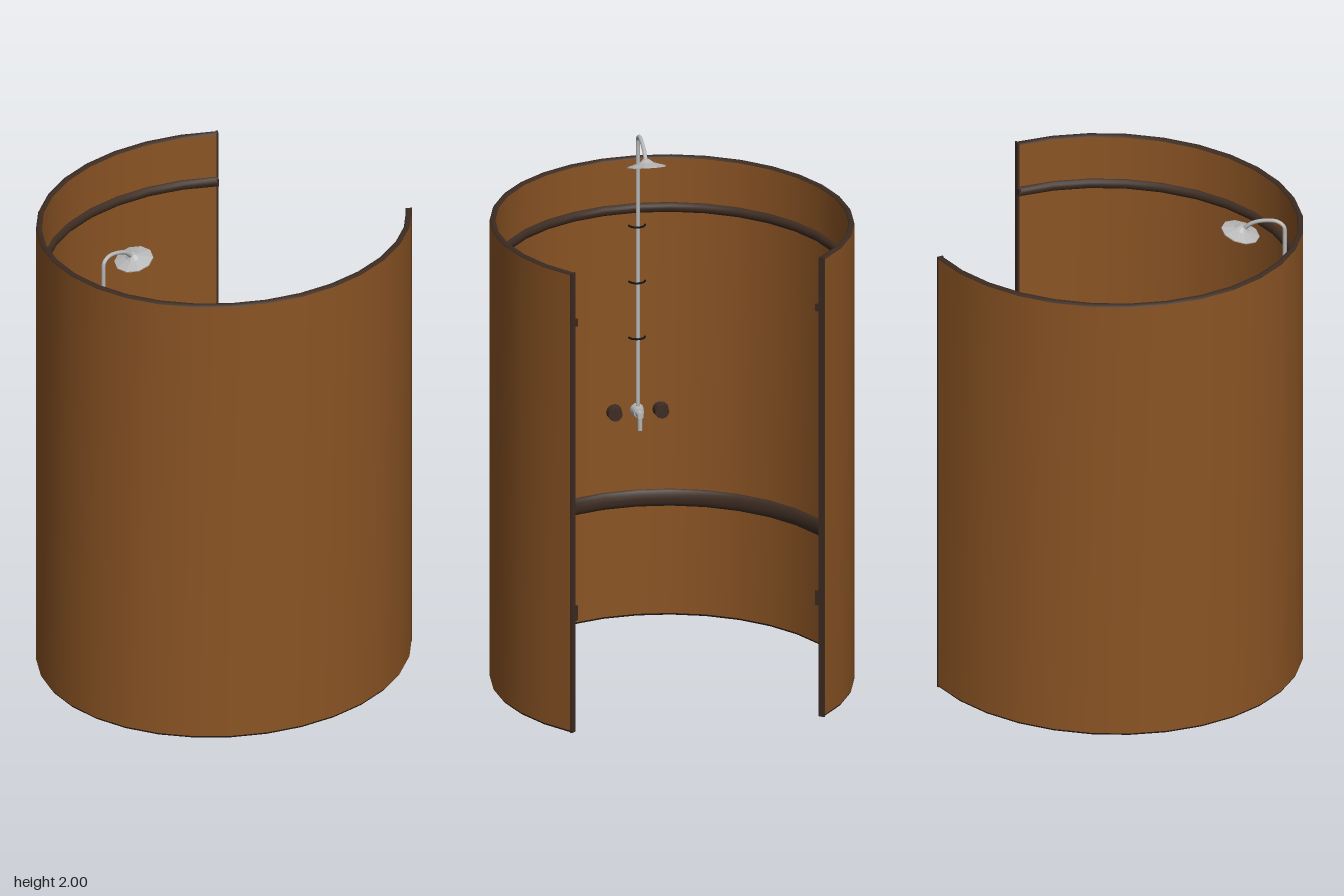
import * as THREE from 'three';

const CX = 0.11, A = 0.76, B = 0.705, TOP = 1.89, THICK = 0.022, SEG = 24;
const START = Math.PI / 4, SWEEP = Math.PI * 1.5;

// Point and outward direction on the elliptical plan, moved inward by d
function plan(theta, d) {
  const n = new THREE.Vector2(Math.cos(theta) / A, Math.sin(theta) / B).normalize();
  return { x: CX + A * Math.cos(theta) - n.x * d, z: B * Math.sin(theta) - n.y * d, n };
}

// Sweep a profile of [inset, height] points round the open ellipse
function sweep(profile) {
  const pos = [], index = [], m = profile.length;
  for (let i = 0; i <= SEG; i++) {
    for (const [d, y] of profile) {
      const p = plan(START + (SWEEP * i) / SEG, d);
      pos.push(p.x, y, p.z);
    }
  }
  for (let i = 0; i < SEG; i++) {
    for (let j = 0; j < m - 1; j++) {
      const a = i * m + j, b = a + m;
      index.push(a, a + 1, b, a + 1, b + 1, b);
    }
  }
  const g = new THREE.BufferGeometry();
  g.setAttribute('position', new THREE.Float32BufferAttribute(pos, 3));
  g.setIndex(index);
  g.computeVertexNormals();
  return g;
}

export function createModel() {
  const model = new THREE.Group();
  const mat = (name, color) => Object.assign(new THREE.MeshStandardMaterial({ color }), { name });
  const wood = mat('brown wall', 0x8b5424);
  const dark = mat('dark trim', 0x3d2c22);
  const steel = mat('steel', 0xb8b8b8);
  const black = mat('black clip', 0x141210);

  function add(name, geometry, material, x = 0, y = 0, z = 0, parent = model) {
    const mesh = new THREE.Mesh(geometry, material);
    mesh.name = name;
    mesh.position.set(x, y, z);
    parent.add(mesh);
    return mesh;
  }

  // Curved enclosure wall
  add('outerWall', sweep([[0, 0.008], [0, TOP - 0.008]]), wood);
  add('innerWall', sweep([[THICK, TOP - 0.008], [THICK, 0.008]]), wood);
  add('topTrim', sweep([[0, TOP - 0.008], [0.004, TOP], [THICK - 0.004, TOP], [THICK, TOP - 0.008]]), dark);
  add('bottomTrim', sweep([[THICK, 0.008], [THICK - 0.004, 0], [0.004, 0], [0, 0.008]]), dark);

  // Rounded rails running round the inside
  const rails = [[0.45, 0.52], [1.66, 1.7]];
  for (const [y0, y1] of rails) {
    const profile = [];
    for (let i = 0; i <= 6; i++) {
      const t = (Math.PI * i) / 6;
      profile.push([THICK + 0.017 * Math.sin(t), (y0 + y1) / 2 + ((y1 - y0) / 2) * Math.cos(t)]);
    }
    add('innerRail', sweep(profile), dark);
  }

  // Trim on the two free edges, and caps on the rail ends
  function endBlock(name, theta, inset, width, y0, y1) {
    const p = plan(theta, inset);
    const block = add(name, new THREE.BoxGeometry(width, y1 - y0, 0.008), dark, p.x, (y0 + y1) / 2, p.z);
    block.rotation.y = -Math.atan2(p.n.y, p.n.x);
  }
  for (const theta of [START, START + SWEEP]) {
    endBlock('edgeTrim', theta, THICK / 2, THICK + 0.003, 0, TOP);
    for (const [y0, y1] of rails) endBlock('railEnd', theta, THICK + 0.008, 0.016, y0 + 0.005, y1 - 0.005);
  }

  // Shower pipe with a curved neck
  const shower = new THREE.Group();
  shower.name = 'shower';
  model.add(shower);
  const px = -0.605;
  add('riserPipe', new THREE.CylinderGeometry(0.008, 0.008, 1.13, 10), steel, px, 1.395, 0, shower);
  const neck = new THREE.CatmullRomCurve3([
    [px, 1.95], [px + 0.004, 1.975], [px + 0.03, 1.991], [-0.53, 1.989], [-0.475, 1.97], [-0.445, 1.945], [-0.43, 1.925],
  ].map(([x, y]) => new THREE.Vector3(x, y, 0)));
  add('neck', new THREE.TubeGeometry(neck, 24, 0.008, 10), steel, 0, 0, 0, shower);

  // Shallow tilted shower head
  const profile = [[0, 0], [0.077, 0], [0.077, 0.004], [0.03, 0.018], [0.012, 0.032], [0, 0.032]];
  const headGeo = new THREE.LatheGeometry(profile.map(([r, y]) => new THREE.Vector2(r, y)), 10).toNonIndexed();
  headGeo.computeVertexNormals();
  add('showerHead', headGeo, steel, -0.424, 1.918, 0, shower).rotation.z = 0.29;

  // Half-ring clips holding the pipe to the wall
  for (const y of [1.15, 1.38, 1.61]) {
    const clip = add('pipeClip', new THREE.TorusGeometry(0.032, 0.004, 6, 12, Math.PI), black, -0.628, y, 0, shower);
    clip.rotation.set(Math.PI / 2, 0, -Math.PI / 2);
  }

  // Valve with spout, and a knob on each side
  const valve = add('valveBody', new THREE.CylinderGeometry(0.02, 0.028, 0.045, 10), steel, -0.603, 0.85, 0, shower);
  valve.rotation.z = -Math.PI / 2;
  const nozzle = add('valveNozzle', new THREE.CylinderGeometry(0.012, 0.016, 0.04, 10), steel, -0.565, 0.85, 0, shower);
  nozzle.rotation.z = -Math.PI / 2;
  add('spout', new THREE.CylinderGeometry(0.009, 0.009, 0.065, 10), steel, -0.56, 0.82, 0, shower);
  for (const side of [-1, 1]) {
    const knob = add('tapKnob', new THREE.CylinderGeometry(0.028, 0.032, 0.045, 14), dark, -0.604, 0.85, side * 0.092, shower);
    knob.rotation.z = -Math.PI / 2;
  }

  return model;
}
